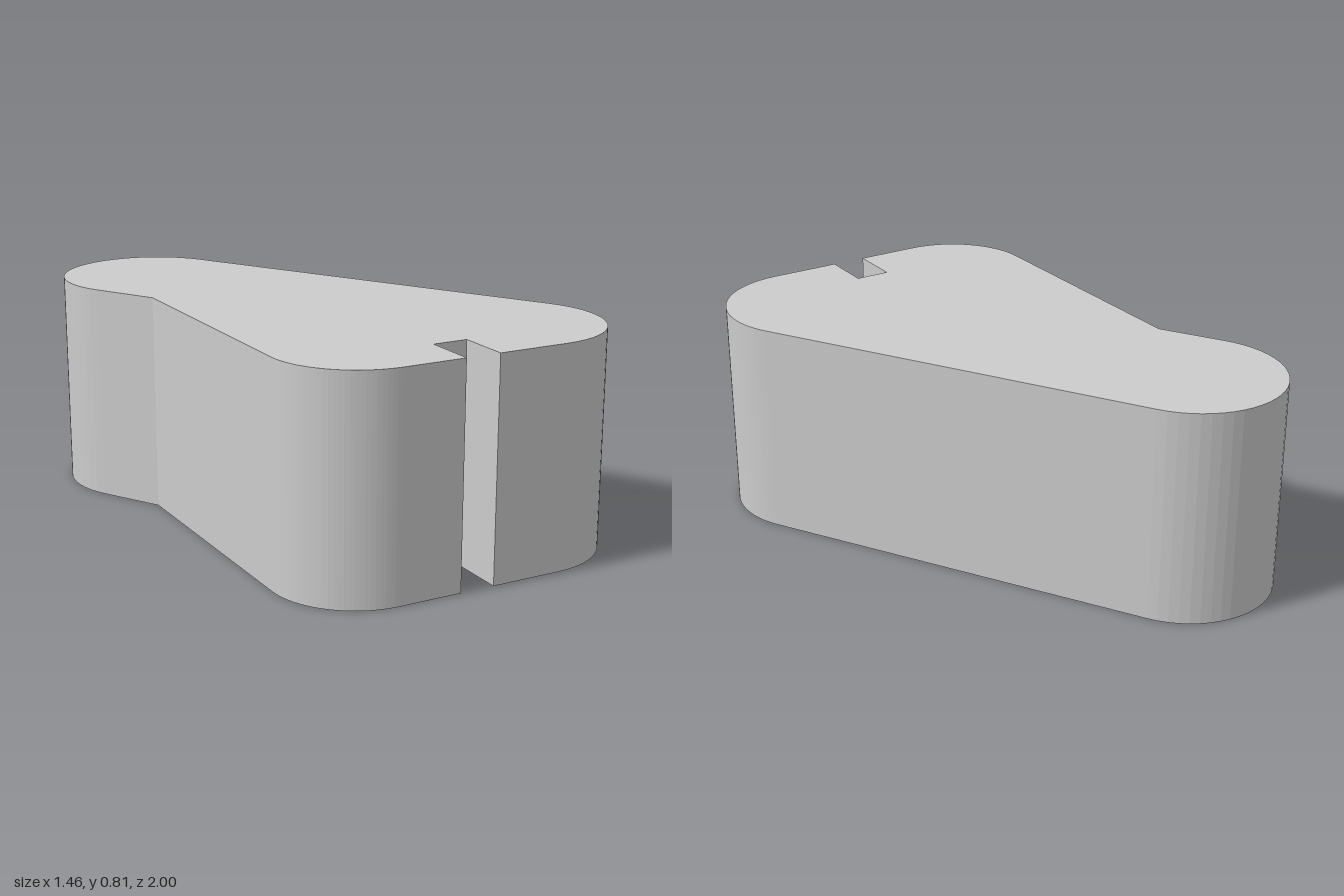
import * as THREE from 'three';

const HEIGHT = 0.81;
const R = 0.335;                    // large rounded ends
const CORNER = 0.31;                // front right corner
const END = { x: 0.393, y: 0.665 }; // centres of the rounded ends, mirrored through the origin
const SIDE = -0.55;                 // straight right side

export function createModel() {
  const group = new THREE.Group();

  // direction square to the slanted side
  const tilt = Math.atan2(END.x, END.y);

  // Plan outline, counter-clockwise, with shape y pointing to the back
  const outline = new THREE.Shape();
  outline.moveTo(SIDE + CORNER, -1);
  // notch in the front edge
  outline.lineTo(-0.004, -1);
  outline.lineTo(-0.004, -0.8);
  outline.lineTo(0.126, -0.8);
  outline.lineTo(0.126, -1);
  // front left end, slanted side, back end
  outline.absarc(END.x, -END.y, R, -Math.PI / 2, tilt, false);
  outline.absarc(-END.x, END.y, R, tilt, tilt + Math.PI, false);
  // inner corner where the slanted arm meets the straight side
  const startX = -END.x - R * Math.cos(tilt);
  const startY = END.y - R * Math.sin(tilt);
  outline.lineTo(SIDE, startY - (SIDE - startX) / Math.tan(tilt));
  // straight side and front right corner
  outline.absarc(SIDE + CORNER, -1 + CORNER, CORNER, Math.PI, Math.PI * 1.5, false);

  const geometry = new THREE.ExtrudeGeometry(outline, {
    depth: HEIGHT, bevelEnabled: false, curveSegments: 14,
  });
  geometry.rotateX(-Math.PI / 2);

  const body = new THREE.Mesh(
    geometry,
    new THREE.MeshStandardMaterial({ color: 0xcccccc, flatShading: true }),
  );
  body.name = 'notchedBlock';
  group.add(body);
  return group;
}
